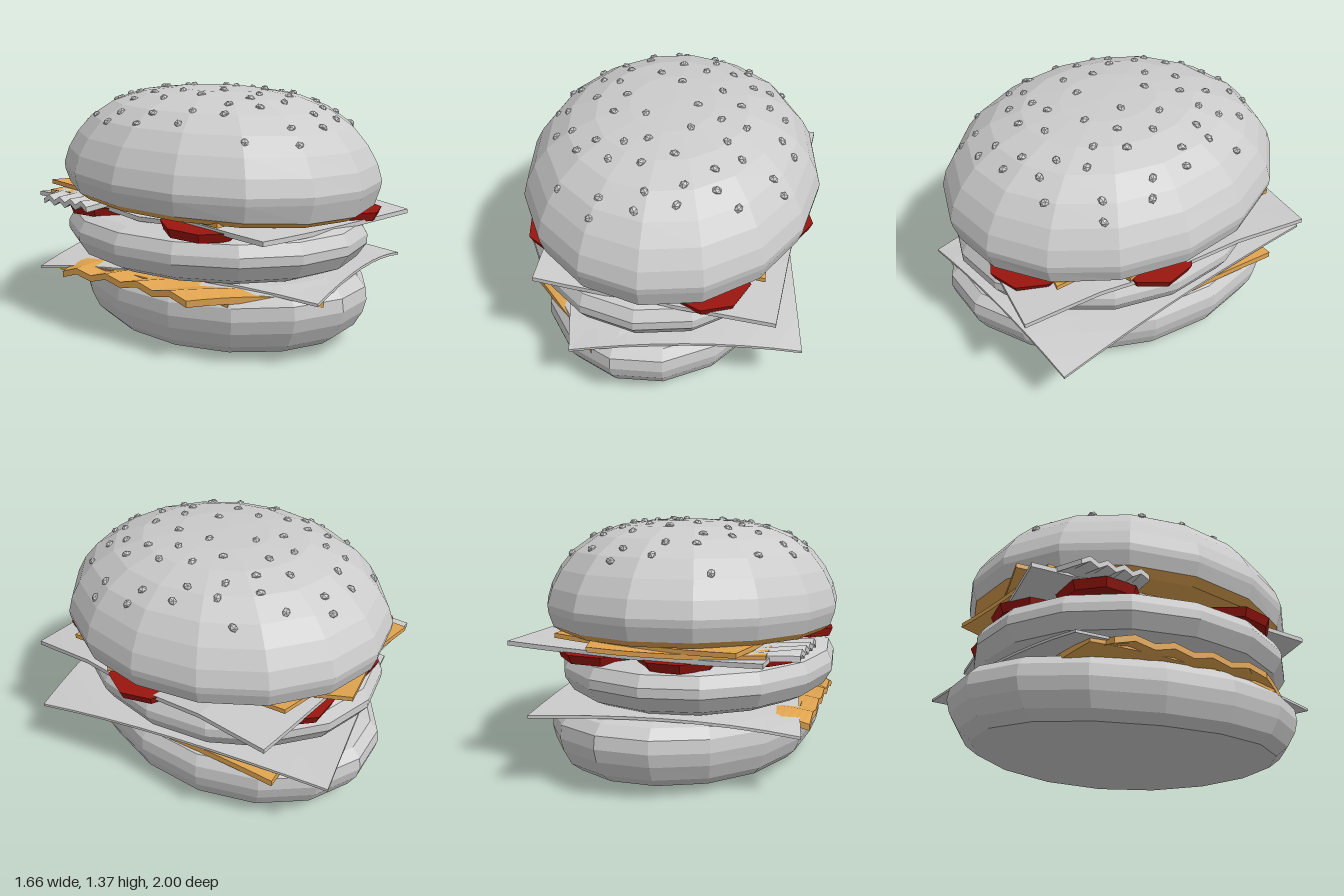
import * as THREE from 'three';

const mat = (color) => new THREE.MeshStandardMaterial({ color, flatShading: true });

export function createModel() {
  const group = new THREE.Group();
  const grey = mat(0xcccccc);
  const gold = mat(0xe0a450);
  const red = mat(0x99150e);

  const add = (name, geometry, material, parent = group) => {
    const mesh = new THREE.Mesh(geometry, material);
    mesh.name = name;
    parent.add(mesh);
    return mesh;
  };

  // Lathed layer from [radius fraction, height] points, bottom to top; lift(y, z) bends it
  const layer = (name, pts, material, parent = group, lift = () => 0) => {
    const geo = new THREE.LatheGeometry(pts.map(([r, y]) => new THREE.Vector2(r, y)), 16);
    const p = geo.attributes.position;
    for (let i = 0; i < p.count; i++) p.setY(i, p.getY(i) + lift(p.getY(i), p.getZ(i)));
    return add(name, geo, material, parent);
  };

  // Thin slice stretched between four [x, z, drop] corners; corners droop, edges may ripple
  const slice = (name, corners, y, thick, material, ripple = () => 0) => {
    const geo = new THREE.BoxGeometry(1, 1, 1, 8, 1, 8);
    const p = geo.attributes.position;
    for (let i = 0; i < p.count; i++) {
      const u = p.getX(i) + 0.5, v = p.getZ(i) + 0.5;
      const w = [(1 - u) * (1 - v), u * (1 - v), u * v, (1 - u) * v];
      let x = 0, z = 0, h = y + p.getY(i) * thick + ripple(u, v);
      corners.forEach(([cx, cz, drop], k) => {
        x += cx * w[k];
        z += cz * w[k];
        h -= drop * w[k] ** 2.8;
      });
      p.setXYZ(i, x, h, z);
    }
    return add(name, geo, material);
  };
  const crinkle = (u, v) => (Math.round(v * 8) % 2 ? 0.014 : -0.014) * (1 - u);

  // Bottom bun, slightly turned, its front and back ends curling up
  const bottom = layer('bottomBun', [
    [0, 0], [0.55, 0.002], [0.86, 0.022], [0.93, 0.07], [0.98, 0.15],
    [1, 0.22], [0.99, 0.29], [0.94, 0.345], [0.84, 0.37], [0, 0.405],
  ], grey, group, (y, z) => 0.05 * z * z);
  bottom.scale.set(0.7, 1, 1.01);
  bottom.rotation.y = -0.16;

  // Lower filling: golden slice with a crumpled side, and a pale slice draped over it
  slice('lowerGoldenSlice', [
    [-0.74, -0.55, 0.04], [0.62, -0.72, 0.02], [0.68, 0.52, 0.03], [-0.6, 0.6, 0.06],
  ], 0.38, 0.035, gold);
  slice('lowerGoldenCrumple', [
    [-0.8, -0.45, 0.03], [-0.5, -0.5, 0], [-0.27, 0.95, 0.04], [-0.74, 0.45, 0.02],
  ], 0.37, 0.035, gold, crinkle);
  slice('lowerPaleSlice', [
    [-0.8, -0.65, 0.09], [0.53, -1.0, 0.02], [0.83, 0.75, 0.09], [-0.38, 0.99, 0.06],
  ], 0.42, 0.015, grey);

  // Patty
  const patty = layer('patty', [
    [0, 0.4], [0.84, 0.41], [0.94, 0.45], [1, 0.53], [1, 0.58], [0.96, 0.64], [0.88, 0.665], [0, 0.675],
  ], grey);
  patty.scale.set(0.78, 1, 0.925);
  patty.position.set(-0.04, 0, 0.015);

  // Tomato slices around the patty, leaning outwards
  const tomato = new THREE.CylinderGeometry(0.23, 0.21, 0.05, 8);
  [[0.3, 0.67], [0.59, 0.1], [-0.53, 0.38], [-0.5, -0.4], [0.3, -0.62], [-0.16, -0.64]]
    .forEach(([x, z], i) => {
      const slab = add('tomatoSlice', tomato, red);
      slab.position.set(x, 0.682, z);
      slab.rotation.set(0.07 * z, i * 0.7, -0.07 * x);
    });

  // Upper pale slice, wavy and tipped down towards the front
  slice('upperPaleSlice', [
    [-0.65, -0.83, -0.02], [0.78, -0.77, -0.02], [0.68, 0.88, 0.01], [-0.6, 0.82, -0.03],
  ], 0.715, 0.025, grey, (u, v) => -0.015 * Math.cos(v * 4 * Math.PI) - 0.05 * v);
  slice('upperPaleCrumple', [
    [-0.78, -0.62, 0], [-0.55, -0.75, 0], [-0.55, -0.25, 0], [-0.78, -0.25, 0],
  ], 0.735, 0.03, grey, crinkle);

  // Upper golden slices below the bun, rising towards the back
  slice('upperGoldenSlice', [
    [-0.64, -0.74, -0.01], [0.22, -0.94, -0.03], [0.72, 0.3, 0.01], [-0.4, 0.74, 0.01],
  ], 0.73, 0.025, gold);
  slice('upperGoldenSlice', [
    [-0.53, -0.87, -0.02], [0.52, -0.72, -0.02], [0.6, 0.66, 0.02], [-0.62, 0.55, 0.02],
  ], 0.75, 0.025, gold);

  // Top bun: grey dome over a golden cut face, tipped forward with a sagging front rim
  const bun = new THREE.Group();
  bun.name = 'topBun';
  bun.position.set(0, 0, -0.01);
  bun.rotation.x = 0.03;
  group.add(bun);
  const sag = (y, z) => (y < 0.8 ? -0.03 * Math.max(z, 0) ** 2 : 0);
  const dome = [
    [0.965, 0.785], [0.995, 0.86], [1, 0.9], [0.97, 0.99], [0.91, 1.085], [0.82, 1.18],
    [0.68, 1.265], [0.5, 1.323], [0.28, 1.35], [0, 1.357],
  ];
  layer('bunDome', dome, grey, bun, sag).scale.set(0.83, 1, 0.97);
  layer('bunCutFace', [[0, 0.74], [0.91, 0.75], [0.965, 0.785]], gold, bun, sag).scale.set(0.83, 1, 0.97);

  // Seeds spread in a spiral over the dome
  const seedGeo = new THREE.IcosahedronGeometry(0.024, 0);
  const up = new THREE.Vector3(0, 1, 0);
  for (let i = 0; i < 64; i++) {
    const r = 0.1 + 0.77 * Math.sqrt((i + 0.5) / 64) + 0.025 * Math.sin(i * 5.3);
    const a = i * 2.39996 + 0.15 * Math.sin(i * 3.1);
    const k = dome.findIndex(([pr], j) => j > 2 && pr <= r);
    const [r0, y0] = dome[k - 1], [r1, y1] = dome[k];
    const slope = (y1 - y0) / (r0 - r1);
    const seed = add('seed', seedGeo, grey, bun);
    seed.position.set(0.82 * r * Math.cos(a), y0 + slope * (r0 - r), 0.96 * r * Math.sin(a));
    const normal = new THREE.Vector3(slope * Math.cos(a), 1, slope * Math.sin(a)).normalize();
    seed.quaternion.setFromUnitVectors(up, normal);
    seed.rotateY(i * 1.7);
    seed.scale.set(1.1, 0.8, 0.9);
  }
  return group;
}
